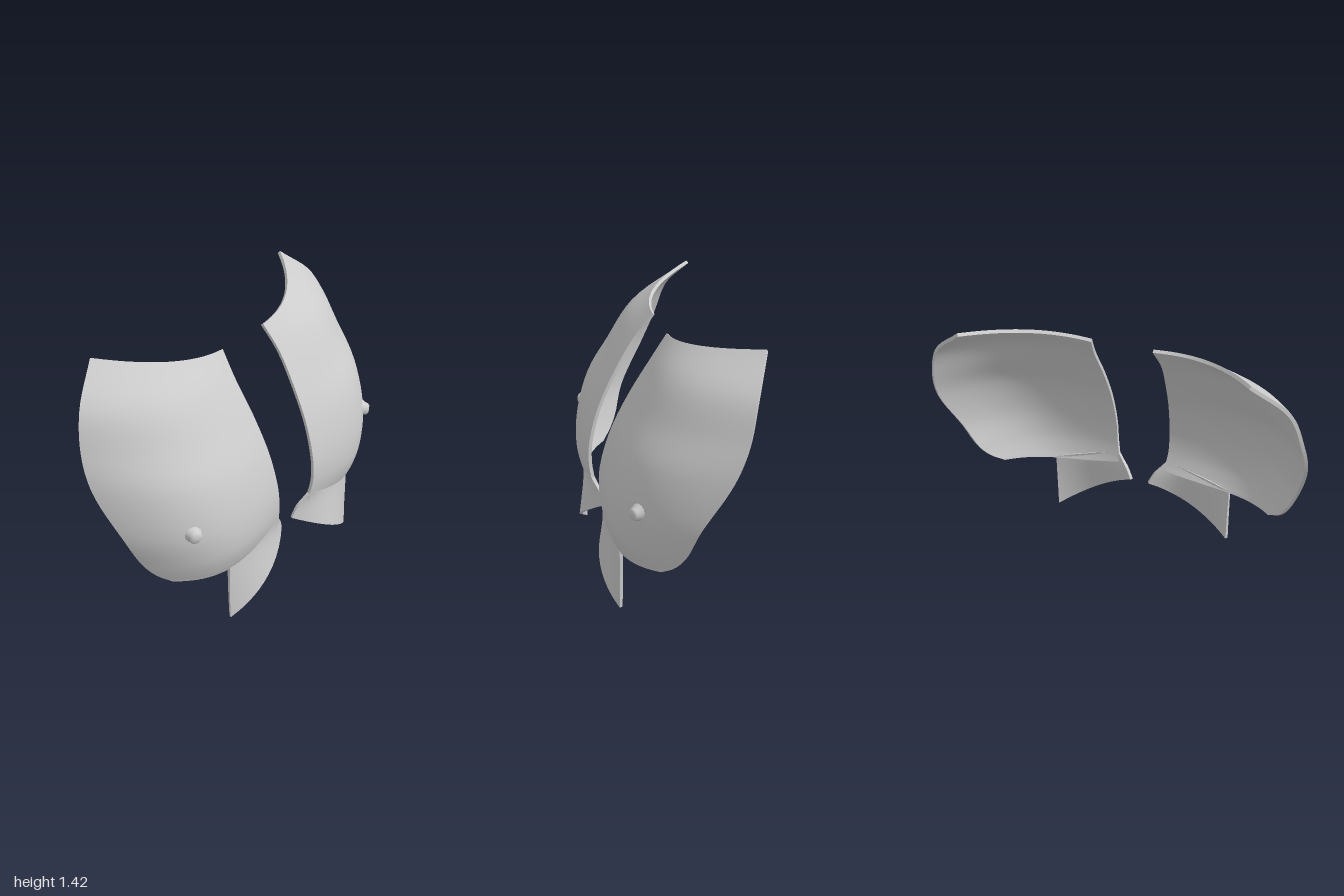
import * as THREE from 'three';

const THICK = 0.018;

// Each section runs from the inner edge to the outer edge:
// [xi, yi, zi, xo, yo, zo, curl power, forward bulge, vertical bow]
const PANEL = [
  [0.162, 1.325, -0.02, 0.74, 1.42, -0.35, 2.2, 0, -0.012],
  [0.178, 1.2, 0.07, 0.92, 1.25, -0.26, 3, 0.01, 0],
  [0.17, 1.02, 0.18, 0.985, 1.05, -0.205, 3.3, 0.012, 0],
  [0.16, 0.82, 0.275, 1.0, 0.88, -0.135, 3.7, 0.018, 0],
  [0.152, 0.62, 0.328, 0.95, 0.63, 0.0, 4, 0.02, 0],
  [0.147, 0.5, 0.332, 0.885, 0.46, 0.055, 4, 0.023, -0.02],
  [0.135, 0.415, 0.32, 0.835, 0.385, 0.1, 4, 0.015, -0.03],
  [0.13, 0.375, 0.31, 0.78, 0.34, 0.15, 4, 0.006, -0.035],
];
const FLAP = [
  [0.142, 0.43, 0.325, 0.515, 0.335, 0.3, 1, 0.012, 0],
  [0.115, 0.4, 0.31, 0.515, 0.25, 0.3, 1, 0.025, 0],
  [0.075, 0.355, 0.288, 0.515, 0.13, 0.3, 1, 0.05, 0],
  [0.045, 0.295, 0.275, 0.515, 0, 0.303, 1, 0.072, 0],
];

function sectionPoint([xi, yi, zi, xo, yo, zo, p, bulge, bow], t) {
  const arch = 4 * t * (1 - t);
  return new THREE.Vector3(
    xi + (xo - xi) * t,
    yi + (yo - yi) * t + bow * arch,
    zi + (zo - zi) * Math.pow(t, p) + bulge * arch
  );
}

// Curved sheet with thickness, lofted through the sections
function shell(sections, nu, nv, side) {
  const front = [], index = [];
  const columns = [];
  for (let j = 0; j <= nu; j++) {
    const t = Math.sin((j / nu) * Math.PI / 2);
    columns.push(new THREE.CatmullRomCurve3(sections.map(s => sectionPoint(s, t))));
  }
  for (let i = 0; i <= nv; i++)
    for (const c of columns) {
      const q = c.getPoint(i / nv);
      front.push(q.x * side, q.y, q.z);
    }
  const tri = (a, b, c) => (side > 0 ? index.push(a, b, c) : index.push(a, c, b));
  const quad = (a, b, c, d) => { tri(a, b, c); tri(a, c, d); };
  const id = (i, j) => i * (nu + 1) + j;
  for (let i = 0; i < nv; i++)
    for (let j = 0; j < nu; j++) quad(id(i, j), id(i + 1, j), id(i + 1, j + 1), id(i, j + 1));

  // Outer face normals give the direction of the thickness
  const face = new THREE.BufferGeometry();
  face.setAttribute('position', new THREE.Float32BufferAttribute(front, 3));
  face.setIndex([...index]);
  face.computeVertexNormals();
  const n = face.attributes.normal.array;
  const back = front.map((v, k) => v - n[k] * THICK);
  const count = front.length / 3;
  const pos = [...front, ...back];
  for (let i = 0; i < nv; i++)
    for (let j = 0; j < nu; j++)
      quad(count + id(i, j), count + id(i, j + 1), count + id(i + 1, j + 1), count + id(i + 1, j));

  // Crisp rim around the edge
  const loop = [];
  for (let i = 0; i < nv; i++) loop.push(id(i, 0));
  for (let j = 0; j < nu; j++) loop.push(id(nv, j));
  for (let i = nv; i > 0; i--) loop.push(id(i, nu));
  for (let j = nu; j > 0; j--) loop.push(id(0, j));
  loop.forEach((a, k) => {
    const b = loop[(k + 1) % loop.length], s = pos.length / 3;
    const add = (arr, m) => pos.push(arr[m * 3], arr[m * 3 + 1], arr[m * 3 + 2]);
    add(front, a); add(back, a); add(back, b); add(front, b);
    quad(s, s + 1, s + 2, s + 3);
  });

  const g = new THREE.BufferGeometry();
  g.setAttribute('position', new THREE.Float32BufferAttribute(pos, 3));
  g.setIndex(index);
  g.computeVertexNormals();
  return g;
}

export function createModel() {
  const model = new THREE.Group();
  model.name = 'chestPanels';
  const grey = new THREE.MeshStandardMaterial({ color: 0xcccccc });
  grey.name = 'lightGrey';

  // Small rounded stud with a flared base
  const studProfile = [[0.05, -0.012], [0.036, 0.006], [0.032, 0.022], [0.022, 0.032], [0, 0.034]]
    .map(([r, h]) => new THREE.Vector2(r, h));

  for (const side of [1, -1]) {
    const half = new THREE.Group();
    half.name = side > 0 ? 'leftHalf' : 'rightHalf';
    const add = (geometry, name) => {
      const mesh = new THREE.Mesh(geometry, grey);
      mesh.name = name;
      half.add(mesh);
      return mesh;
    };
    add(shell(PANEL, 28, 42, side), 'panel');
    add(shell(FLAP, 16, 12, side), 'waistFlap');
    const stud = add(new THREE.LatheGeometry(studProfile, 14), 'stud');
    stud.position.set(0.725 * side, 0.645, 0.255);
    stud.quaternion.setFromUnitVectors(
      new THREE.Vector3(0, 1, 0),
      new THREE.Vector3(0.45 * side, -0.05, 0.89).normalize()
    );
    model.add(half);
  }
  return model;
}
